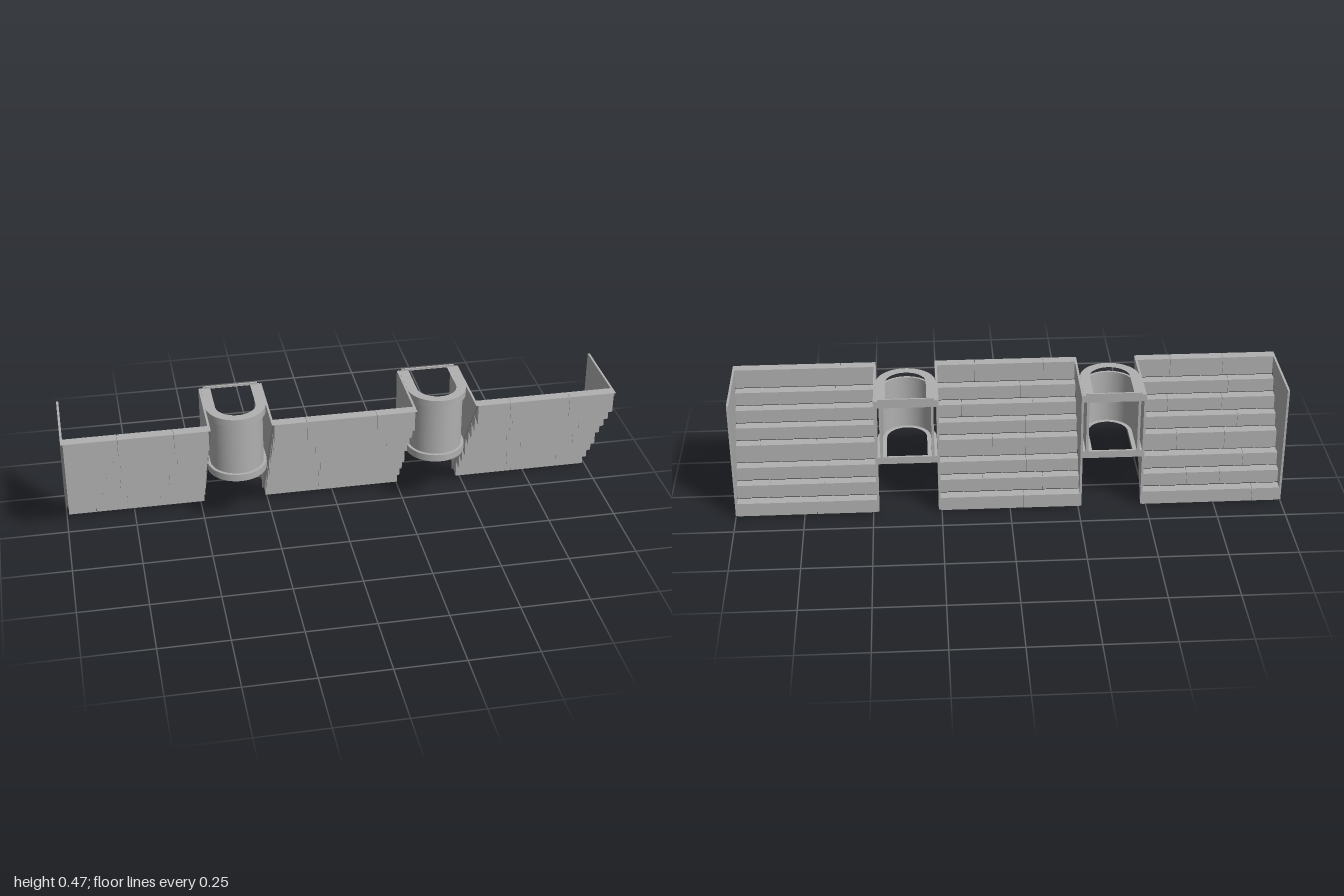
import * as THREE from 'three';

const TOP = 0.462, BACK = -0.155, PLATE = 0.008;

// Extrudes a (z, y) outline along x, from x0 to x1.
function extrudeAlongX(points, x0, x1, material) {
  const shape = new THREE.Shape(points.map(([z, y]) => new THREE.Vector2(-z, y)));
  const geometry = new THREE.ExtrudeGeometry(shape, { depth: x1 - x0, bevelEnabled: false });
  geometry.rotateY(Math.PI / 2).translate(x0, 0, 0);
  return new THREE.Mesh(geometry, material);
}

// D-shaped outline: straight sides from the back, half circle at the front.
function dOutline(target, half, back, centre) {
  target.moveTo(-half, -back);
  target.lineTo(half, -back);
  target.lineTo(half, -centre);
  target.absarc(0, -centre, half, 0, -Math.PI, true);
  target.lineTo(-half, -back);
  return target;
}

// Extrudes a plan (x, -z) upwards from y0 to y1.
function extrudeUp(shape, y0, y1, material) {
  const geometry = new THREE.ExtrudeGeometry(shape, { depth: y1 - y0, bevelEnabled: false, curveSegments: 24 });
  geometry.rotateX(-Math.PI / 2).translate(0, y0, 0);
  return new THREE.Mesh(geometry, material);
}

export function createModel() {
  const model = new THREE.Group();
  model.name = 'steppedParapet';
  const grey = new THREE.MeshStandardMaterial({ color: 0xb0b0b0 });
  grey.name = 'weathered grey';

  const add = (parent, mesh, name) => {
    mesh.name = name;
    parent.add(mesh);
    return mesh;
  };

  // Undersides of the eight board rows, bottom row first
  const rows = [0, 0.054, 0.107, 0.159, 0.23, 0.281, 0.333, 0.385];

  let seed = 7;
  const random = () => (seed = (seed * 16807) % 2147483647) / 2147483647;

  // Panels of overlapping boards leaning outwards
  for (const [left, right, name] of [[-1, -0.478, 'rightPanel'], [-0.262, 0.262, 'middlePanel'], [0.478, 1, 'leftPanel']]) {
    const panel = new THREE.Group();
    panel.name = name;
    model.add(panel);
    const x0 = left + PLATE, x1 = right - PLATE;

    rows.forEach((bottom, i) => {
      const back = BACK + i * 0.0388, front = back + 0.0388;
      const top = i < rows.length - 1 ? rows[i + 1] + 0.004 : TOP;
      const profile = [
        [front, bottom], [front, top], [back, top], [back, bottom + 0.006],
        [front - 0.014, bottom + 0.006], [front - 0.017, bottom + 0.002],
      ];
      // Each row is cut into two or three boards with fine joints
      const cuts = [x0, x0 + (x1 - x0) * (0.2 + 0.25 * random())];
      if (i % 2) cuts.push(x0 + (x1 - x0) * (0.6 + 0.25 * random()));
      cuts.push(x1);
      for (let k = 0; k < cuts.length - 1; k++) {
        const gap = k < cuts.length - 2 ? 0.001 : 0;
        add(panel, extrudeAlongX(profile, cuts[k], cuts[k + 1] - gap, grey), 'board');
      }
    });

    // Triangular end plates
    const triangle = [[0.155, TOP], [BACK, TOP], [BACK, 0.008]];
    add(panel, extrudeAlongX(triangle, left, x0, grey), 'endPlate');
    add(panel, extrudeAlongX(triangle, x1, right, grey), 'endPlate');
  }

  // Rounded bays between the panels, open at the back
  for (const side of [-1, 1]) {
    const bay = new THREE.Group();
    bay.name = side < 0 ? 'rightBay' : 'leftBay';
    bay.position.x = side * 0.37;
    model.add(bay);

    const ring = dOutline(new THREE.Shape(), 0.108, BACK, -0.01);
    ring.holes.push(dOutline(new THREE.Path(), 0.073, -0.146, -0.01));
    add(bay, extrudeUp(ring, 0.208, 0.235, grey), 'lowerRim');
    add(bay, extrudeUp(ring, 0.436, 0.463, grey), 'upperRim');

    // Curved wall, a U in plan
    const wall = new THREE.Shape();
    wall.moveTo(0.097, -BACK);
    wall.lineTo(0.097, 0.01);
    wall.absarc(0, 0.01, 0.097, 0, -Math.PI, true);
    wall.lineTo(-0.097, -BACK);
    wall.lineTo(-0.088, -BACK);
    wall.lineTo(-0.088, 0.01);
    wall.absarc(0, 0.01, 0.088, -Math.PI, 0, false);
    wall.lineTo(0.088, -BACK);
    add(bay, extrudeUp(wall, 0.235, 0.436, grey), 'curvedWall');

    // Raised lip along the back of the upper rim
    const lip = add(bay, new THREE.Mesh(new THREE.BoxGeometry(0.2, 0.008, 0.007), grey), 'backLip');
    lip.position.set(0, 0.466, BACK + 0.0035);
  }

  return model;
}
